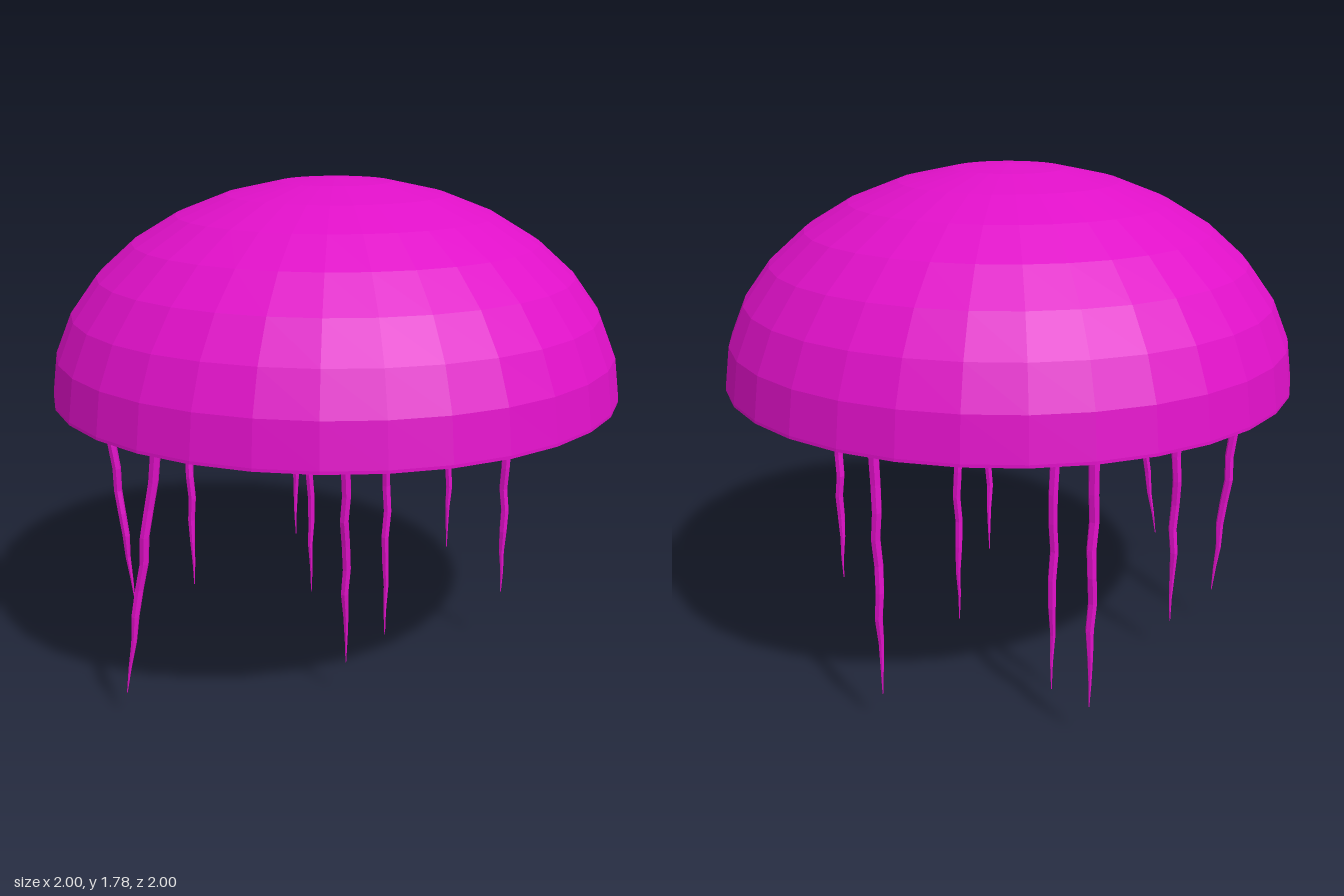
import * as THREE from 'three';

const BASE = 1.04, TOP = 1.78;

// Tentacle: a thin tube that wobbles, leans and narrows to a point
function makeTentacle({ top, tip, end }, index, material) {
  const rings = 10, sides = 6;
  const geometry = new THREE.CylinderGeometry(1, 1, 1, sides, rings);
  const pos = geometry.attributes.position;
  const start = BASE + 0.02;
  for (let i = 0; i < pos.count; i++) {
    const t = 0.5 - pos.getY(i); // 0 at the bell, 1 at the tip
    const radius = t < 0.65 ? 0.019 - 0.006 * t : 0.015 * (1 - t) / 0.35 + 0.0015;
    const sway = 0.005 * Math.sin(Math.PI * t);
    const k = Math.round(t * rings);
    pos.setXYZ(i,
      top[0] + (tip[0] - top[0]) * t + sway * Math.sin(k * 2.1 + index * 1.7) + radius * pos.getX(i),
      start + (end - start) * t,
      top[1] + (tip[1] - top[1]) * t + sway * Math.cos(k * 1.9 + index * 2.3) + radius * pos.getZ(i));
  }
  geometry.computeVertexNormals();
  const mesh = new THREE.Mesh(geometry, material);
  mesh.name = `tentacle${index + 1}`;
  return mesh;
}

export function createModel() {
  const model = new THREE.Group();
  model.name = 'jellyfish';
  const material = new THREE.MeshStandardMaterial({ color: 0xe010c8, flatShading: true });

  // Bell: flattened faceted half sphere with a flat underside and a tiny rim
  const rim = BASE + 0.01;
  const profile = [new THREE.Vector2(0, BASE), new THREE.Vector2(1, BASE)];
  for (let i = 0; i <= 8; i++) {
    const a = (i / 8) * Math.PI / 2;
    profile.push(new THREE.Vector2(i === 8 ? 0 : Math.cos(a), rim + (TOP - rim) * Math.sin(a)));
  }
  const bell = new THREE.Mesh(new THREE.LatheGeometry(profile, 32), material);
  bell.name = 'bell';
  model.add(bell);

  // Tentacles: x and z at the bell and at the tip, and the height of the tip
  const tentacles = new THREE.Group();
  tentacles.name = 'tentacles';
  [
    { top: [-0.86, -0.02], tip: [-0.785, -0.03], end: 0.15 },
    { top: [-0.585, -0.23], tip: [-0.585, -0.235], end: 0.13 },
    { top: [-0.53, 0.605], tip: [-0.68, 0.605], end: 0.11 },
    { top: [-0.215, -0.79], tip: [-0.215, -0.795], end: 0.13 },
    { top: [-0.125, -0.46], tip: [-0.125, -0.465], end: 0 },
    { top: [0.055, 0.505], tip: [0.055, 0.415], end: 0.14 },
    { top: [0.19, 0], tip: [0.19, 0], end: 0.04 },
    { top: [0.455, -0.675], tip: [0.455, -0.675], end: 0.13 },
    { top: [0.625, 0], tip: [0.628, 0], end: 0.23 },
  ].forEach((t, i) => tentacles.add(makeTentacle(t, i, material)));
  model.add(tentacles);

  return model;
}
